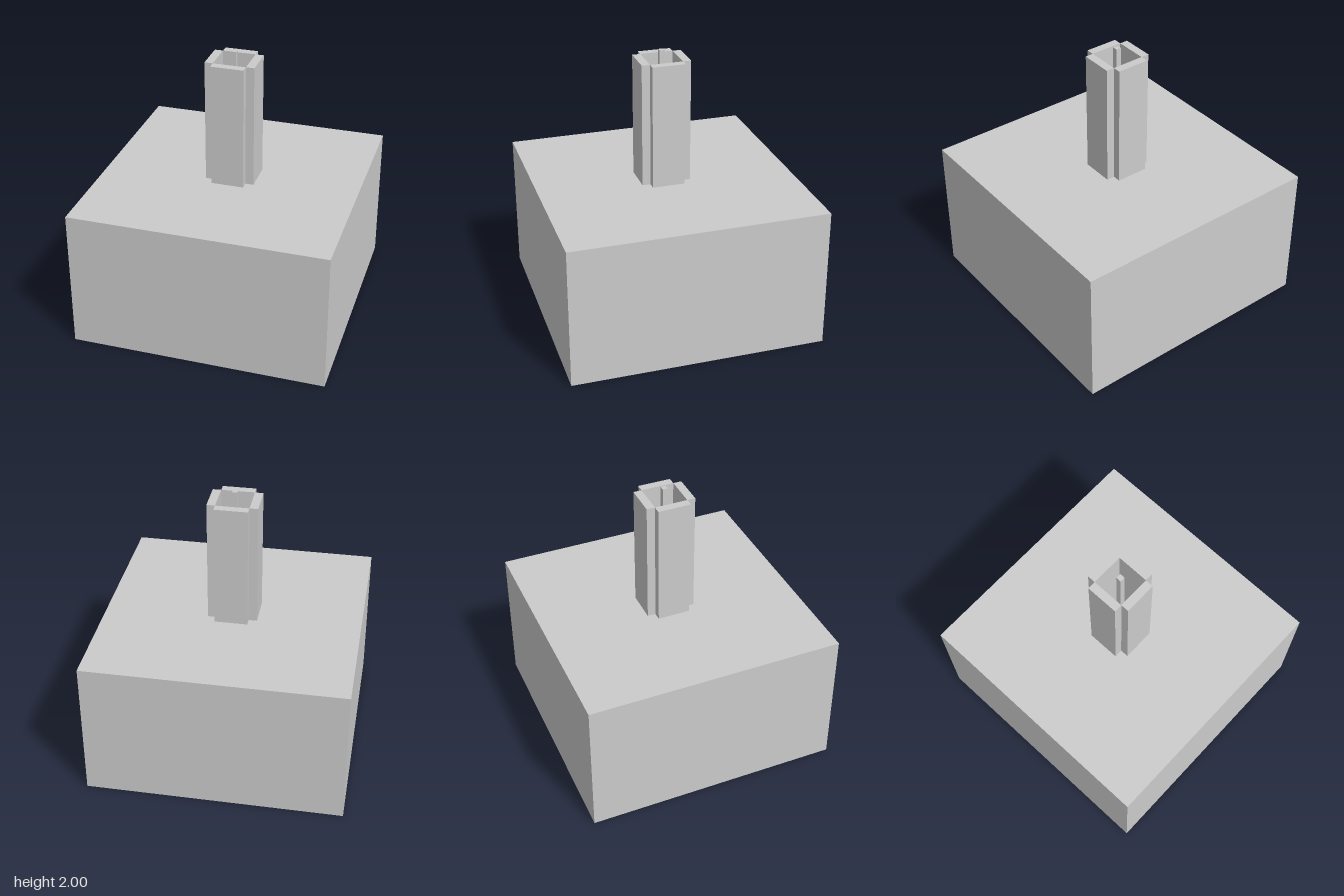
import * as THREE from 'three';

export function createModel() {
  const model = new THREE.Group();
  const material = new THREE.MeshStandardMaterial({ color: 0xcccccc, flatShading: true });

  const BASE_TOP = 1.032, WALL_TOP = 1.94, ROD_TOP = 2;
  const BASE_WIDTH = 1.856, WALL_WIDTH = 0.238, WALL_DEPTH = 0.06;

  // Box standing on height y0 and reaching y1
  function block(name, width, depth, y0, y1, x = 0, z = 0) {
    const mesh = new THREE.Mesh(new THREE.BoxGeometry(width, y1 - y0, depth), material);
    mesh.name = name;
    mesh.position.set(x, (y0 + y1) / 2, z);
    return mesh;
  }

  // Solid square base
  model.add(block('base', BASE_WIDTH, BASE_WIDTH, 0, BASE_TOP));

  // Hollow shaft: four slabs around a square well, leaving notched corners
  const shaft = new THREE.Group();
  shaft.name = 'shaft';
  const offset = (WALL_WIDTH + WALL_DEPTH) / 2;
  ['front', 'left', 'back', 'right'].forEach((side, i) => {
    const wall = new THREE.Group();
    wall.name = side + 'Wall';
    wall.rotation.y = i * Math.PI / 2;
    wall.add(block(side + 'WallSlab', WALL_WIDTH, WALL_DEPTH, BASE_TOP, WALL_TOP, 0, offset));
    shaft.add(wall);
  });
  model.add(shaft);

  // Thin rod in the middle of the well
  model.add(block('centreRod', 0.038, 0.038, BASE_TOP, ROD_TOP));

  return model;
}
